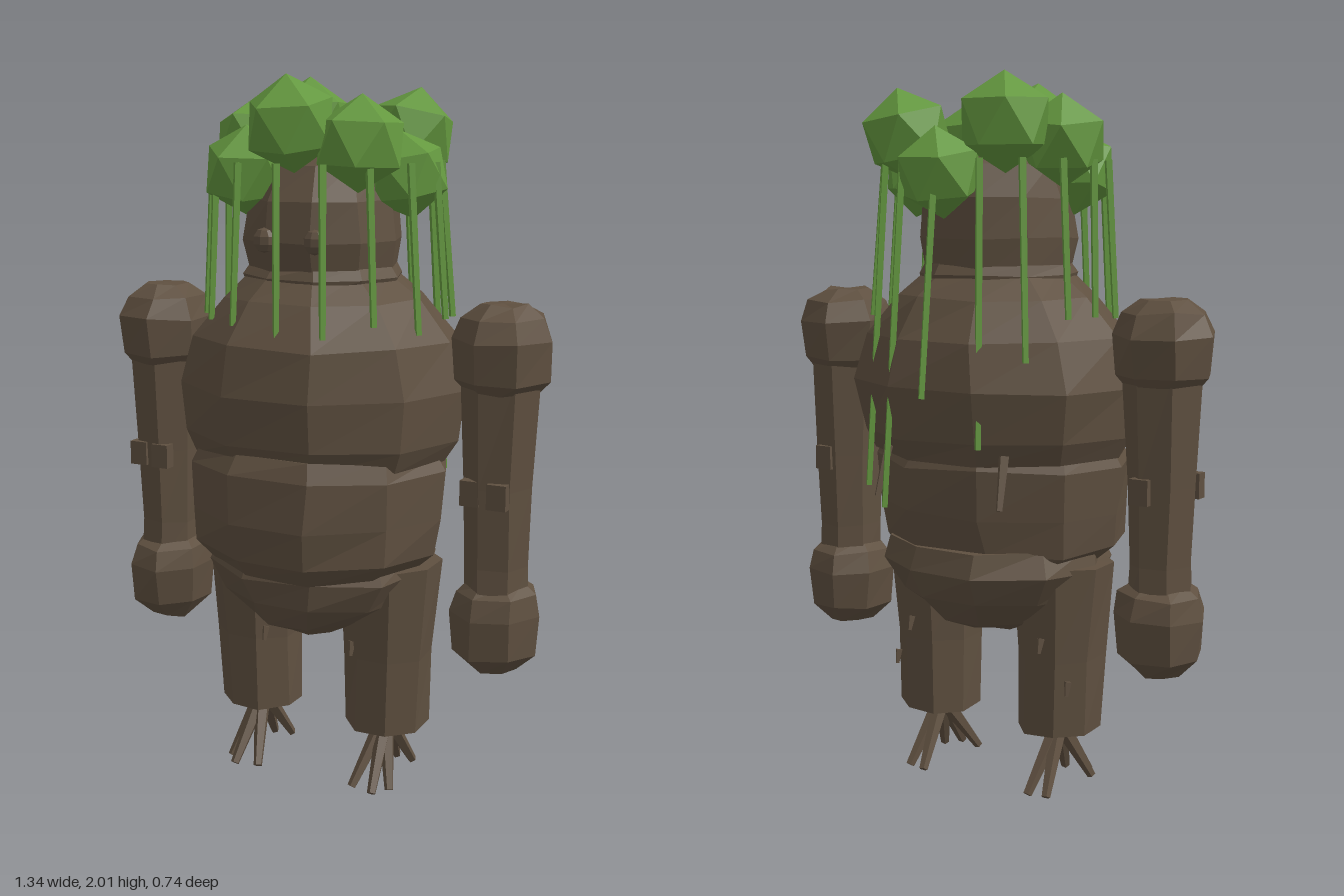
import * as THREE from 'three';

const bark = new THREE.MeshStandardMaterial({ color: 0x5f5040, flatShading: true });
bark.name = 'bark';
const leaf = new THREE.MeshStandardMaterial({ color: 0x64983f, flatShading: true });
leaf.name = 'leaf green';

let seed = 7;
const rand = () => ((seed = (seed * 16807) % 2147483647) / 2147483647) - 0.5;

// Faceted closed solid from rings [y, rx, rz, cx, cz], listed bottom to top.
function loft(rings, sides, jitter = 0, turn = 0) {
  const first = rings[0], last = rings[rings.length - 1];
  const all = [[first[0], 0, 0, first[3], first[4]], ...rings, [last[0], 0, 0, last[3], last[4]]];
  const pos = [], index = [];
  all.forEach(([y, rx, rz, cx = 0, cz = 0]) => {
    for (let i = 0; i < sides; i++) {
      const a = turn + (i / sides) * Math.PI * 2;
      const k = rx ? jitter : 0;
      pos.push(cx + rx * Math.cos(a) + rand() * k, y + rand() * k, cz + rz * Math.sin(a) + rand() * k);
    }
  });
  for (let r = 0; r < all.length - 1; r++) {
    for (let i = 0; i < sides; i++) {
      const a = r * sides + i, b = r * sides + (i + 1) % sides;
      if (r > 0) index.push(a, a + sides, b);
      if (r < all.length - 2) index.push(b, a + sides, b + sides);
    }
  }
  const g = new THREE.BufferGeometry();
  g.setAttribute('position', new THREE.Float32BufferAttribute(pos, 3));
  g.setIndex(index);
  const flat = g.toNonIndexed();
  flat.computeVertexNormals();
  return flat;
}

function add(parent, name, geometry, material = bark) {
  const mesh = new THREE.Mesh(geometry, material);
  mesh.name = name;
  parent.add(mesh);
  return mesh;
}

// Tapered rod between two points.
function rod(parent, name, from, to, r0, r1, sides, material) {
  const a = new THREE.Vector3(...from), b = new THREE.Vector3(...to);
  const dir = a.clone().sub(b);
  const mesh = add(parent, name, new THREE.CylinderGeometry(r0, r1, dir.length(), sides), material);
  mesh.position.copy(a).add(b).multiplyScalar(0.5);
  mesh.quaternion.setFromUnitVectors(new THREE.Vector3(0, 1, 0), dir.normalize());
  return mesh;
}

export function createModel() {
  seed = 7;
  const model = new THREE.Group();
  model.name = 'treeGolem';

  // Trunk: overlapping bark shells
  add(model, 'hips', loft([
    [0.46, 0.09, 0.12, 0, 0.04], [0.5, 0.19, 0.22, 0, 0.03], [0.57, 0.28, 0.28, 0, 0.02],
    [0.65, 0.33, 0.31, 0, 0.01], [0.72, 0.31, 0.29, 0, 0.01]], 10, 0.015));
  add(model, 'belly', loft([
    [0.66, 0.3, 0.28, 0, 0.04], [0.71, 0.36, 0.31, 0, 0.05], [0.82, 0.375, 0.33, 0, 0.05],
    [0.95, 0.385, 0.335, 0, 0.04], [1.0, 0.36, 0.31, 0, 0.04]], 10, 0.018));
  add(model, 'chest', loft([
    [0.97, 0.38, 0.31, 0, 0.02], [1.03, 0.41, 0.345, 0, 0.02], [1.17, 0.425, 0.365, 0, 0.01],
    [1.3, 0.385, 0.34, 0, 0.015], [1.41, 0.29, 0.27, 0, 0.01], [1.48, 0.2, 0.2, 0, 0.01]], 10, 0.012));

  // Head and collar
  add(model, 'collar', loft([
    [1.43, 0.21, 0.21, 0, 0.01], [1.47, 0.225, 0.22, 0, 0.01], [1.5, 0.21, 0.2, 0, 0.01]], 10, 0.008));
  add(model, 'head', loft([
    [1.46, 0.2, 0.2, 0, 0.01], [1.57, 0.22, 0.225, 0, 0.015], [1.68, 0.205, 0.215, 0, 0.01],
    [1.77, 0.17, 0.17], [1.82, 0.1, 0.1, 0, -0.01]], 10, 0.006));
  for (const x of [-0.072, 0.08]) {
    const eye = add(model, 'eye', new THREE.SphereGeometry(0.034, 8, 5));
    eye.position.set(x, 1.575, 0.222);
    eye.scale.z = 0.7;
  }

  for (const s of [-1, 1]) {
    const side = s > 0 ? 'left' : 'right';

    // Arm with knobbly shoulder and fist
    const arm = new THREE.Group();
    arm.name = side + 'Arm';
    arm.position.x = s * 0.53;
    model.add(arm);
    const turn = s > 0 ? 0 : Math.PI;
    add(arm, 'shoulder', loft([
      [1.15, 0.07, 0.08], [1.21, 0.13, 0.135], [1.32, 0.14, 0.15], [1.38, 0.115, 0.12],
      [1.415, 0.065, 0.07]], 7, 0.012, turn));
    add(arm, 'limb', loft([
      [0.58, 0.09, 0.1], [0.7, 0.088, 0.095], [0.92, 0.095, 0.1], [1.22, 0.11, 0.115]], 7, 0.008, turn));
    add(arm, 'fist', loft([
      [0.395, 0.06, 0.07], [0.45, 0.115, 0.125], [0.56, 0.13, 0.14], [0.62, 0.115, 0.12],
      [0.65, 0.075, 0.08]], 7, 0.01, turn));
    for (const [x, z] of [[0.03, 0.09], [-0.05, 0.08], [0.02, -0.09]]) {
      const knot = add(arm, 'knot', new THREE.BoxGeometry(0.055, 0.07, 0.035));
      knot.position.set(x, 0.91, z);
    }

    // Leg with root toes
    const leg = new THREE.Group();
    leg.name = side + 'Leg';
    model.add(leg);
    add(leg, 'stump', loft([
      [0.18, 0.12, 0.12, s * 0.205, 0.015], [0.4, 0.125, 0.125, s * 0.21, 0.015],
      [0.67, 0.145, 0.145, s * 0.215, 0.015]], 8, 0.008, Math.PI / 8));
    for (const [x, z] of [[0.26, 0.11], [0.225, 0.155], [0.155, 0.14], [0.18, -0.12], [0.235, -0.11]]) {
      rod(leg, 'rootToe', [s * 0.205, 0.19, 0.015], [s * x, 0.01, z], 0.026, 0.013, 5);
    }
    for (const [x, y, z] of [[0.14, 0.42, 0.11], [0.22, 0.45, -0.115], [0.29, 0.33, -0.085]]) {
      rod(leg, 'twig', [s * x, y + 0.02, z], [s * x, y - 0.02, z * 1.1], 0.012, 0.006, 4);
    }
    // Loose root on the back
    rod(model, 'backRoot', [s * 0.19, 1.0, -0.26], [s * 0.2, 0.86, -0.3], 0.016, 0.01, 4);
  }

  // Crown of leaf clumps
  const clumps = [
    [0, 1.88, 0.205, 0.13], [0.175, 1.83, 0.145, 0.128], [-0.165, 1.755, 0.15, 0.125],
    [0.235, 1.745, -0.02, 0.12], [-0.225, 1.83, -0.02, 0.128], [0.185, 1.85, -0.165, 0.13],
    [-0.145, 1.875, -0.185, 0.133], [0.03, 1.745, -0.235, 0.125]];
  clumps.forEach(([x, y, z, r], i) => {
    const g = new THREE.IcosahedronGeometry(r, 0);
    g.rotateZ(0.5536);
    const clump = add(model, 'leafClump', g, leaf);
    clump.position.set(x, y, z);
    clump.rotation.set(z * 0.8, i * 1.3, -x * 0.8);
  });

  // Hanging vines: top x, z, bottom x, z, bottom y
  const vines = [
    [0, 0.285, 0.01, 0.31, 1.33], [0.13, 0.275, 0.14, 0.295, 1.33], [-0.12, 0.275, -0.13, 0.295, 1.35],
    [0.23, 0.205, 0.25, 0.215, 1.36], [-0.23, 0.2, -0.245, 0.215, 1.35],
    [0.3, 0.1, 0.33, 0.105, 1.33], [-0.3, 0.1, -0.325, 0.105, 1.35],
    [0.325, -0.01, 0.355, -0.02, 1.36], [-0.315, -0.01, -0.33, -0.02, 1.36],
    [0.29, -0.13, 0.325, -0.145, 1.35], [-0.29, -0.13, -0.315, -0.14, 1.36],
    [0.22, -0.22, 0.26, -0.26, 0.88], [-0.22, -0.22, -0.25, -0.25, 1.25],
    [0.12, -0.28, 0.15, -0.335, 0.84], [-0.12, -0.27, -0.14, -0.31, 1.02],
    [0, -0.3, 0.01, -0.355, 1.15]];
  for (const [x0, z0, x1, z1, y] of vines) {
    rod(model, 'vine', [x0, 1.78, z0], [x1, y, z1], 0.012, 0.01, 4, leaf);
  }
  return model;
}
